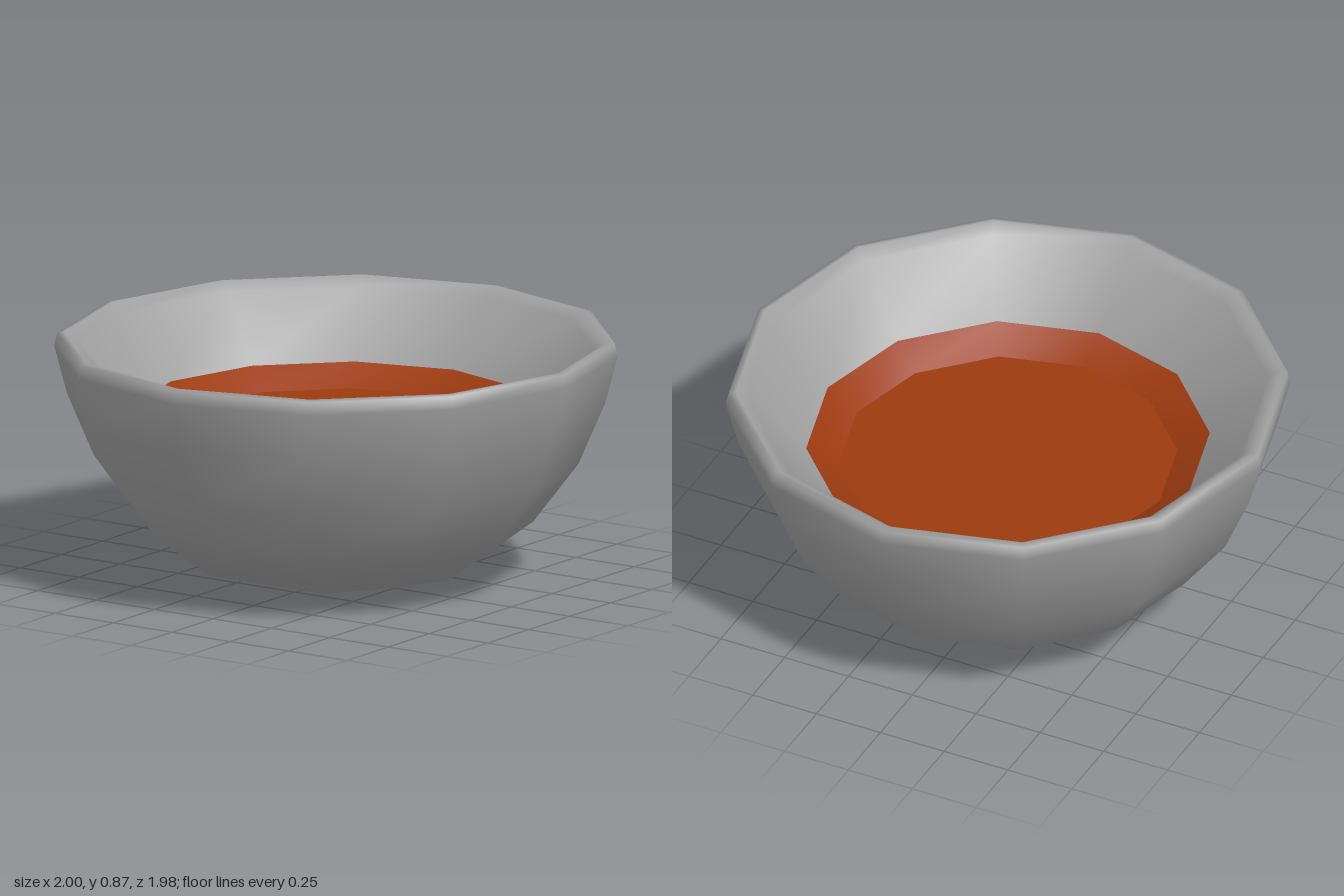
import * as THREE from 'three';
import { mergeVertices } from 'three/addons/utils/BufferGeometryUtils.js';

const SIDES = 12;
const DEPTH = 0.988; // slightly narrower front to back

// One ring of twelve points around the y axis
function ring(r, y) {
  return Array.from({ length: SIDES }, (_, k) => {
    const a = (k / SIDES) * Math.PI * 2;
    return [r * Math.sin(a), y, r * Math.cos(a) * DEPTH];
  });
}

// Skins consecutive rings; the outside of the loft faces outward when rings rise
function loft(rings) {
  const index = [];
  for (let i = 0; i < rings.length - 1; i++) {
    for (let k = 0; k < SIDES; k++) {
      const n = (k + 1) % SIDES;
      const a = i * SIDES + k, b = i * SIDES + n;
      index.push(a, b, b + SIDES, a, b + SIDES, a + SIDES);
    }
  }
  let geo = new THREE.BufferGeometry();
  geo.setAttribute('position', new THREE.Float32BufferAttribute(rings.flat(2), 3));
  geo.setIndex(index);
  geo = mergeVertices(geo, 1e-4);
  geo.computeVertexNormals();
  return geo;
}

export function createModel() {
  const clay = new THREE.MeshStandardMaterial({ color: 0xa0a0a0 });
  clay.name = 'grey clay';
  const broth = new THREE.MeshStandardMaterial({ color: 0x9c3a10 });
  broth.name = 'rusty orange';

  const model = new THREE.Group();
  model.name = 'bowl';
  const add = (name, geo, mat) => {
    const mesh = new THREE.Mesh(geo, mat);
    mesh.name = name;
    model.add(mesh);
    return mesh;
  };

  // Base closes through a hexagon onto a short ridge
  const hexagon = ring(0.49, 0.06).map(([x, y, z], k) => {
    const s = k % 2 ? Math.cos(Math.PI / 6) : 1;
    return [x * s, y, z * s];
  });
  const ridge = hexagon.map(([, , z]) => [0, 0, THREE.MathUtils.clamp(z, -0.25, 0.25)]);

  // Outer wall, rounded rim and inner wall
  const wall = [
    [0.7, 0.22], [0.86, 0.43], [0.955, 0.65], [1, 0.82],
    [0.99, 0.865], [0.965, 0.87], [0.92, 0.84], [0.715, 0.615],
  ].map(([r, y]) => ring(r, y));
  add('bowlShell', loft([ridge, hexagon, ...wall]), clay);

  // Sloping coloured band and flat floor inside the bowl
  add('innerBand', loft([ring(0.715, 0.615), ring(0.6, 0.545)]), broth);
  const floor = add('innerFloor', new THREE.CircleGeometry(0.6, SIDES), broth);
  floor.rotation.x = -Math.PI / 2;
  floor.scale.y = DEPTH;
  floor.position.y = 0.545;

  return model;
}
